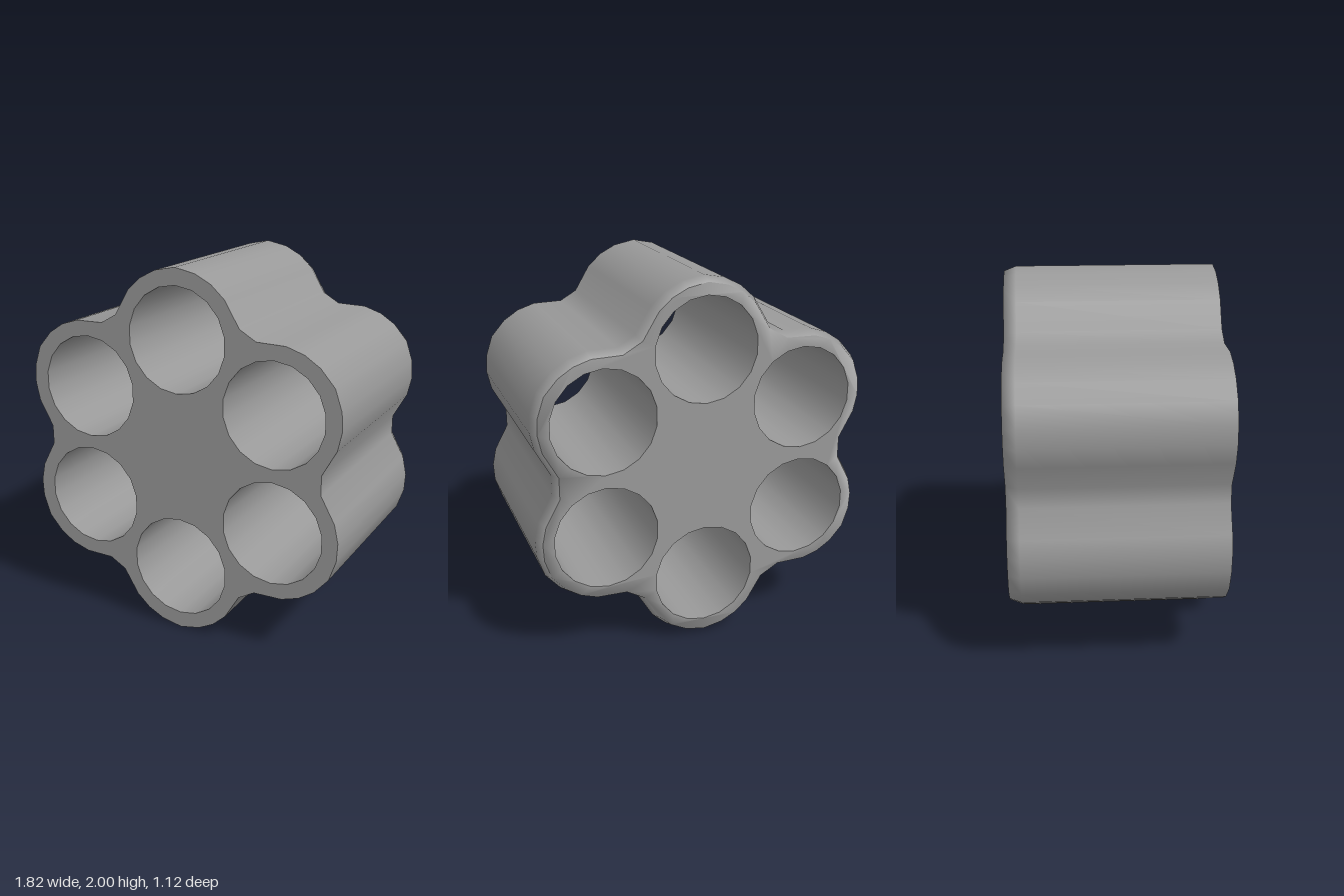
import * as THREE from 'three';

const LOBES = 6, CY = 1, FRONT = 0.56, BACK = -0.56, BEVEL_Z = -0.495;
const BORE_DIST = 0.63, BORE_R = 0.28, BORE_SIDES = 18;
const INSET = 0.025, RIM_TILT = Math.PI / 3;

// half of one lobe: [sideways offset, distance from the axis], valley to peak
const HALF = [[0.36, 0.728], [0.278, 0.864], [0.203, 0.932], [0.115, 0.977], [0, 1]];

// counter-clockwise outline of all the lobes
function lobedOutline() {
  const lobe = [...HALF, ...HALF.slice(0, -1).reverse().map(([t, r]) => [-t, r])];
  const points = [];
  for (let k = 0; k < LOBES; k++) {
    const a = Math.PI / 2 + (k * 2 * Math.PI) / LOBES, c = Math.cos(a), s = Math.sin(a);
    for (const [t, r] of lobe) points.push(new THREE.Vector2(c * r + s * t, s * r - c * t));
  }
  return points;
}

// counter-clockwise circle of one bore, with a corner on the lobe's axis
function boreOutline(k) {
  const a = Math.PI / 2 + (k * 2 * Math.PI) / LOBES;
  return Array.from({ length: BORE_SIDES }, (_, i) => {
    const b = a + (i * 2 * Math.PI) / BORE_SIDES;
    return new THREE.Vector2(
      Math.cos(a) * BORE_DIST + Math.cos(b) * BORE_R,
      Math.sin(a) * BORE_DIST + Math.sin(b) * BORE_R);
  });
}

// smooth normals of a closed loop, to the right of its direction
function loopNormals(points) {
  const n = points.length;
  return points.map((p, i) => {
    const d1 = p.clone().sub(points[(i + n - 1) % n]).normalize();
    const d2 = points[(i + 1) % n].clone().sub(p).normalize();
    const d = d1.add(d2).normalize();
    return new THREE.Vector2(d.y, -d.x);
  });
}

function insetLoop(points, amount) {
  const normals = loopNormals(points);
  return points.map((p, i) => p.clone().addScaledVector(normals[i], -amount));
}

// wall through rings { points, z, tilt }, front to back; tilt leans normals backwards
function wall(rings) {
  const pos = [], nor = [], index = [], n = rings[0].points.length;
  rings.forEach(({ points, z, tilt = 0 }, r) => {
    const normals = loopNormals(points);
    points.forEach((p, j) => {
      pos.push(p.x, p.y, z);
      nor.push(normals[j].x * Math.cos(tilt), normals[j].y * Math.cos(tilt), -Math.sin(tilt));
      if (r === rings.length - 1) return;
      const a = r * n + j, b = r * n + ((j + 1) % n);
      index.push(a, a + n, b, b, a + n, b + n);
    });
  });
  const g = new THREE.BufferGeometry();
  g.setAttribute('position', new THREE.Float32BufferAttribute(pos, 3));
  g.setAttribute('normal', new THREE.Float32BufferAttribute(nor, 3));
  g.setIndex(index);
  return g;
}

// flat end face pierced by the bores; tilt below 90 degrees leans the rim normals outwards
function endFace(outline, bores, tilt) {
  const shape = new THREE.Shape(outline);
  shape.holes = bores.map((b) => new THREE.Path(b));
  const g = new THREE.ShapeGeometry(shape);
  loopNormals(outline).forEach((n, i) => {
    g.attributes.normal.setXYZ(i, n.x * Math.cos(tilt), n.y * Math.cos(tilt), Math.sin(tilt));
  });
  return g;
}

export function createModel() {
  const group = new THREE.Group();
  group.name = 'lobedCylinder';
  const material = new THREE.MeshStandardMaterial({ color: 0x999999 });
  const add = (name, geometry) => {
    const mesh = new THREE.Mesh(geometry, material);
    mesh.name = name;
    mesh.position.y = CY;
    group.add(mesh);
  };

  const outline = lobedOutline();
  const rim = insetLoop(outline, INSET);
  const bores = Array.from({ length: LOBES }, (_, k) => boreOutline(k));

  // outer wall with the softened rear edge
  add('outerWall', wall([
    { points: outline, z: FRONT },
    { points: outline, z: BEVEL_Z },
    { points: rim, z: BACK, tilt: RIM_TILT },
  ]));

  // end faces: crisp in front, shaded smoothly into the bevel behind
  add('frontFace', endFace(outline, bores, Math.PI / 2).translate(0, 0, FRONT));
  add('backFace', endFace(rim, bores, RIM_TILT).rotateY(Math.PI).translate(0, 0, BACK));

  // through bores, reversed so that they face inwards
  bores.forEach((b, k) => {
    const points = [...b].reverse();
    add('bore' + (k + 1), wall([{ points, z: FRONT }, { points, z: BACK }]));
  });

  return group;
}
